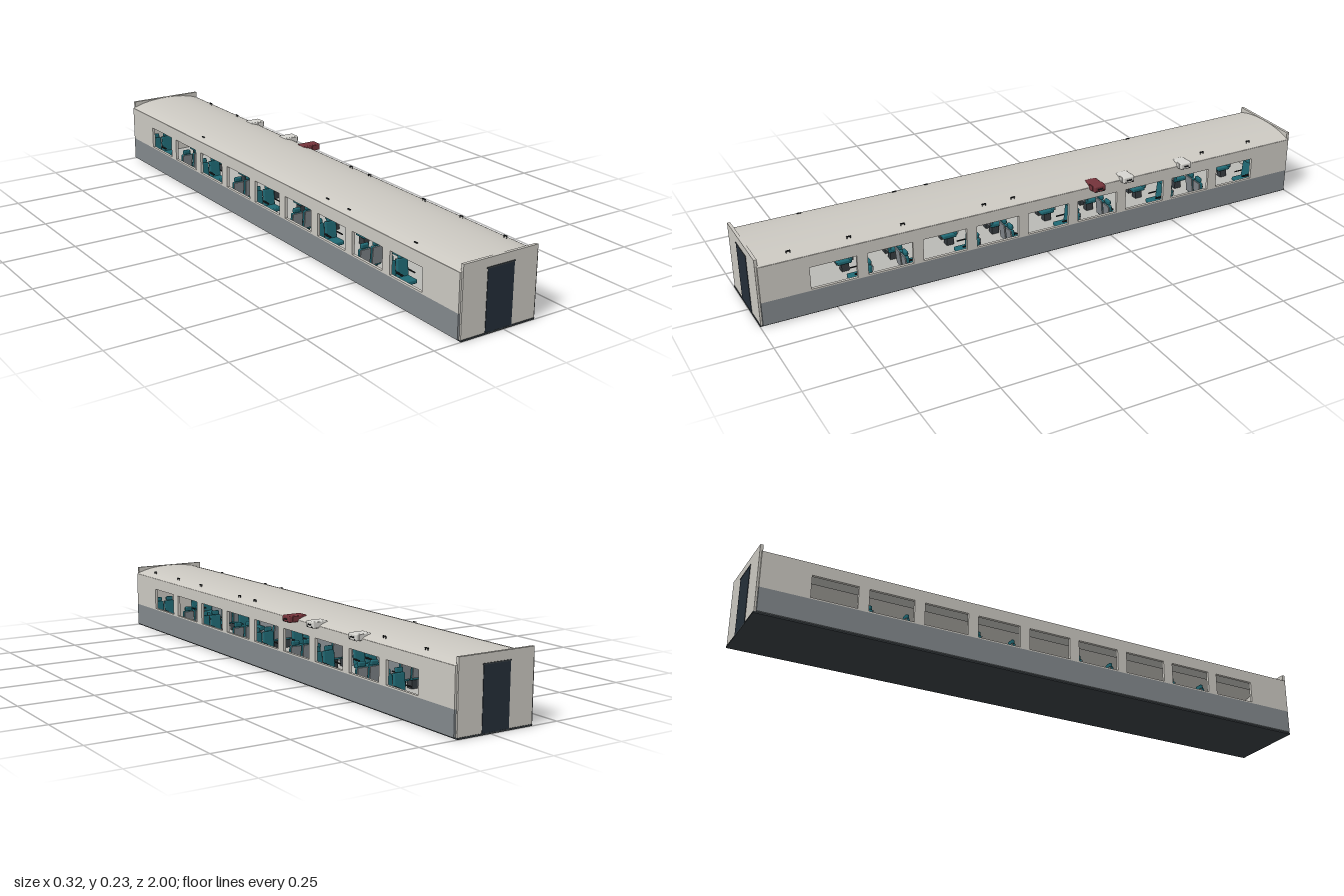
import * as THREE from 'three';
import { toCreasedNormals } from 'three/addons/utils/BufferGeometryUtils.js';
import { RoundedBoxGeometry } from 'three/addons/geometries/RoundedBoxGeometry.js';

const mat = (name, color, side = THREE.FrontSide) => {
  const m = new THREE.MeshStandardMaterial({ color, side });
  m.name = name;
  return m;
};

export function createModel() {
  const M = {
    body: mat('warm grey', 0xcbc8c1),
    band: mat('lower band grey', 0x82888c),
    dark: mat('underframe dark', 0x363c40),
    door: mat('door navy', 0x242e38),
    floor: mat('floor grey', 0xb9b9b5),
    teal: mat('seat teal', 0x1f6873),
    red: mat('dark red', 0x74333a),
    white: mat('case white', 0xd6d5d0),
    black: mat('handle black', 0x1c2022),
  };
  const root = new THREE.Group();
  root.name = 'passengerCar';
  const CX = -0.0185, HW = 0.1435, T = 0.01, L = 0.992;

  const add = (parent, name, geo, m, x = 0, y = 0, z = 0) => {
    const mesh = new THREE.Mesh(geo, m);
    mesh.name = name;
    mesh.position.set(x, y, z);
    parent.add(mesh);
    return mesh;
  };
  const box = (parent, name, m, w, h, d, x, y, z) =>
    add(parent, name, new THREE.BoxGeometry(w, h, d), m, x, y, z);
  const rbox = (parent, name, m, w, h, d, x, y, z, r = 0.004) =>
    add(parent, name, new RoundedBoxGeometry(w, h, d, 2, r), m, x, y, z);

  // Underframe and interior floor
  box(root, 'underframe', M.dark, 0.273, 0.005, 2, CX, 0.0025, 0);
  box(root, 'floor', M.floor, 0.27, 0.003, 1.98, CX, 0.0066, 0);

  // Side walls with nine window openings above a darker band
  const wall = new THREE.Shape();
  wall.moveTo(-L, 0.085).lineTo(L, 0.085).lineTo(L, 0.207).lineTo(-L, 0.207).closePath();
  for (let i = -4; i <= 4; i++) {
    const z = i * 0.1887, w = 0.0765, p = new THREE.Path();
    p.moveTo(z - w, 0.09).lineTo(z - w, 0.166).lineTo(z + w, 0.166).lineTo(z + w, 0.09).closePath();
    wall.holes.push(p);
  }
  const wallGeo = new THREE.ExtrudeGeometry(wall, { depth: T, bevelEnabled: false });
  wallGeo.rotateY(-Math.PI / 2).translate(T / 2, 0, 0);
  for (const s of [-1, 1]) {
    const x = CX + s * (HW - T / 2);
    add(root, 'sideWall', wallGeo, M.body, x);
    box(root, 'lowerBand', M.band, T, 0.08, 2 * L, x, 0.045, 0);
  }

  // Arched roof with rounded eaves
  const roof = new THREE.Shape();
  roof.moveTo(-HW, 0.2);
  roof.bezierCurveTo(-HW, 0.207, -0.14, 0.21, -0.132, 0.212);
  roof.bezierCurveTo(-0.07, 0.2375, 0.07, 0.2375, 0.132, 0.212);
  roof.bezierCurveTo(0.14, 0.21, HW, 0.207, HW, 0.2);
  roof.lineTo(0.133, 0.2);
  roof.bezierCurveTo(0.07, 0.232, -0.07, 0.232, -0.133, 0.2);
  roof.closePath();
  const roofGeo = new THREE.ExtrudeGeometry(roof, { depth: 2 * L, bevelEnabled: false, curveSegments: 16 });
  add(root, 'roof', toCreasedNormals(roofGeo, 0.7), M.body, CX, 0, -L);

  // End walls with door, lintel and sill
  for (const s of [-1, 1]) {
    const end = new THREE.Group();
    end.name = 'carEnd';
    box(end, 'endWall', M.body, 0.273, 0.227, 0.01, 0, 0.1185, 0.993);
    box(end, 'door', M.door, 0.098, 0.195, 0.004, 0, 0.1025, 0.9975);
    box(end, 'doorLintel', M.dark, 0.104, 0.004, 0.005, 0, 0.202, 0.9975);
    end.position.x = CX;
    if (s < 0) end.rotation.y = Math.PI;
    root.add(end);
  }

  // One seat, facing +z
  const makeSeat = () => {
    const g = new THREE.Group();
    g.name = 'seat';
    rbox(g, 'seatCushion', M.teal, 0.042, 0.014, 0.05, 0, 0.045, 0.026);
    const back = new THREE.Group();
    back.name = 'seatBack';
    rbox(back, 'backCushion', M.teal, 0.042, 0.062, 0.011, 0, 0.031, 0.003);
    rbox(back, 'headrest', M.teal, 0.028, 0.016, 0.012, 0, 0.07, 0.004);
    box(back, 'backShell', M.band, 0.038, 0.06, 0.004, 0, 0.031, -0.004);
    back.position.set(0, 0.046, 0.002);
    back.rotation.x = -0.1;
    g.add(back);
    for (const s of [-1, 1])
      rbox(g, 'armrest', M.black, 0.004, 0.005, 0.036, s * 0.022, 0.068, 0.02, 0.002);
    box(g, 'seatPedestal', M.dark, 0.022, 0.032, 0.026, 0, 0.024, 0.022);
    return g;
  };

  // Five facing bays, two seats on each side of the aisle
  for (let bay = -2; bay <= 2; bay++)
    for (const dir of [-1, 1])
      for (const x of [-0.107, -0.06, 0.06, 0.107]) {
        const seat = makeSeat();
        seat.position.set(CX + x, 0, bay * 0.3774 + dir * 0.125);
        if (dir > 0) seat.rotation.y = Math.PI;
        root.add(seat);
      }

  // Overhead racks
  for (const s of [-1, 1]) {
    box(root, 'luggageRack', M.floor, 0.055, 0.003, 1.9, CX + s * 0.106, 0.173, 0);
    box(root, 'rackRail', M.dark, 0.003, 0.006, 1.9, CX + s * 0.079, 0.176, 0);
  }

  // Upright cases whose handles reach through the roof
  const upright = (x, z, m, top) => {
    const g = new THREE.Group();
    g.name = 'uprightCase';
    rbox(g, 'caseShell', m, 0.032, 0.032, 0.026, 0, 0.191, 0);
    for (const s of [-1, 1]) box(g, 'handlePost', M.black, 0.002, top - 0.205, 0.002, 0, (top + 0.205) / 2, s * 0.006);
    box(g, 'handleGrip', M.black, 0.004, 0.003, 0.014, 0, top - 0.0015, 0);
    g.position.set(x, 0, z);
    root.add(g);
  };
  const shells = [M.red, M.white, M.teal];
  [-0.83, -0.63, 0.12, 0.225, 0.51, 0.69, 0.885].forEach((z, i) => upright(0.096, z, shells[i % 3], 0.226));
  [-0.47, 0.325, 0.44, 0.77].forEach((z, i) => upright(-0.139, z, shells[i % 3], 0.219));

  // Cases lying across the rack and out past the wall
  const lying = (z, m, len) => {
    const g = new THREE.Group();
    g.name = 'lyingCase';
    rbox(g, 'caseShell', m, len, 0.022, 0.042, 0.09 + len / 2, 0.211, 0);
    for (const s of [-1, 1]) {
      box(g, 'caseRib', m, len * 0.3, 0.018, 0.004, 0.09 + len * 0.65, 0.211, s * 0.0215);
      box(g, 'caseFoot', M.black, 0.002, 0.004, 0.004, 0.0905 + len, 0.204, s * 0.013);
    }
    box(g, 'caseHandle', M.black, 0.003, 0.004, 0.018, 0.091 + len, 0.211, 0);
    g.position.z = z;
    root.add(g);
  };
  lying(-0.178, M.red, 0.068);
  lying(-0.3, M.white, 0.055);
  lying(-0.533, M.white, 0.055);

  return root;
}
